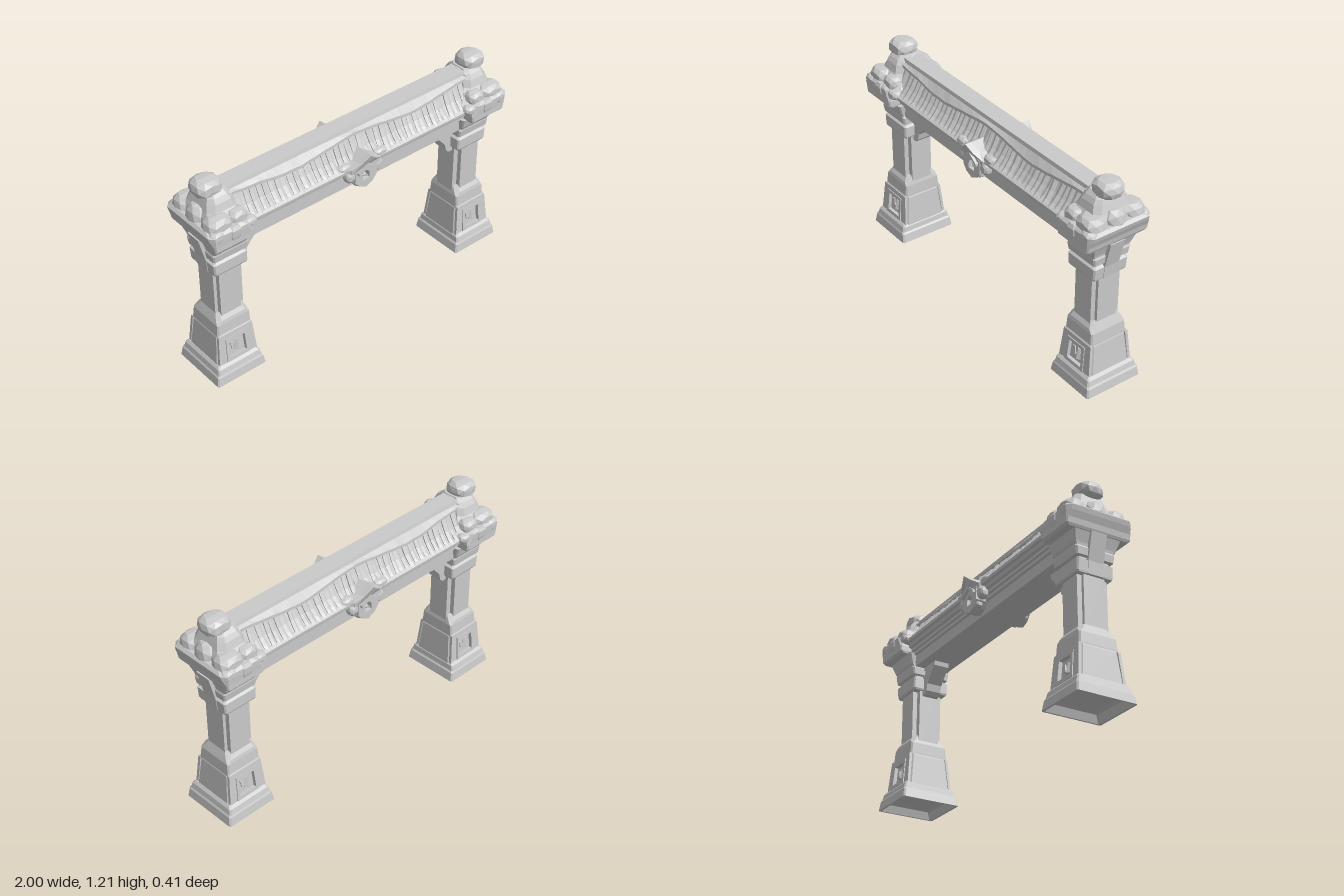
import * as THREE from 'three';

const stone = new THREE.MeshStandardMaterial({ color: 0xcacaca, flatShading: true });
stone.name = 'stone';

let seed = 7;
const rnd = () => { seed = (seed * 16807) % 2147483647; return seed / 2147483647; };
const vary = (a) => (rnd() - 0.5) * 2 * a;

function add(parent, name, geometry, x = 0, y = 0, z = 0) {
  const mesh = new THREE.Mesh(geometry, stone);
  mesh.name = name;
  mesh.position.set(x, y, z);
  parent.add(mesh);
  return mesh;
}

// Closed skin over equal-length rings of [x, y, z], wound outward
function skin(rings) {
  const n = rings[0].length, pos = rings.flat(2), idx = [];
  for (let r = 0; r < rings.length - 1; r++) {
    for (let i = 0; i < n; i++) {
      const a = r * n + i, b = r * n + (i + 1) % n;
      idx.push(a, b, b + n, a, b + n, a + n);
    }
  }
  const top = (rings.length - 1) * n;
  for (let i = 1; i < n - 1; i++) idx.push(0, i + 1, i, top, top + i, top + i + 1);
  let volume = 0;
  const p = (i) => new THREE.Vector3().fromArray(pos, i * 3);
  for (let i = 0; i < idx.length; i += 3) volume += p(idx[i]).dot(p(idx[i + 1]).cross(p(idx[i + 2])));
  if (volume < 0) idx.reverse();
  const g = new THREE.BufferGeometry();
  g.setAttribute('position', new THREE.Float32BufferAttribute(pos, 3));
  g.setIndex(idx);
  const flat = g.toNonIndexed();
  flat.computeVertexNormals();
  return flat;
}

// Stack of chamfered rectangles: [y, xMin, xMax, halfZ, chamfer]
const stack = (rows) => skin(rows.map(([y, a, b, z, c = 0.008]) => [
  [a + c, y, z], [b - c, y, z], [b, y, z - c], [b, y, c - z],
  [b - c, y, -z], [a + c, y, -z], [a, y, c - z], [a, y, z - c]]));

// Rough, slightly squared boulder
function lump(parent, name, x, y, z, sx, sy, sz) {
  const g = new THREE.IcosahedronGeometry(1, 1);
  const p = g.attributes.position;
  const square = (v) => Math.sign(v) * Math.min(1, 1.05 * Math.abs(v) ** 0.87);
  for (let i = 0; i < p.count; i++) {
    const a = p.getX(i), b = p.getY(i), c = p.getZ(i);
    const k = 1 + 0.04 * Math.sin(a * 5 + x * 9) * Math.cos(b * 4 + c * 3);
    p.setXYZ(i, square(a) * k * sx, square(b) * k * sy, square(c) * k * sz);
  }
  g.computeVertexNormals();
  return add(parent, name, g, x, y, z);
}

function extrude(points, depth, hole) {
  const vectors = (list) => list.map(([x, y]) => new THREE.Vector2(x, y));
  const s = new THREE.Shape(vectors(points));
  if (hole) s.holes.push(new THREE.Path(vectors(hole)));
  return new THREE.ExtrudeGeometry(s, { depth, bevelEnabled: false });
}

// Half profile of [z, y] mirrored in z and run along x
function beamAlongX(half, length) {
  const full = [...half, ...half.slice().reverse().map(([z, y]) => [-z, y])];
  return skin([-length / 2, length / 2].map((x) => full.map(([z, y]) => [x, y, z])));
}

function post() {
  const g = new THREE.Group();
  // Hollow-bottomed foot and sloped plinth
  add(g, 'foot', stack([[0.05, 0.74, 0.95, 0.12], [0.04, 0.715, 0.975, 0.14], [0, 0.7, 0.99, 0.16],
    [0, 0.69, 1, 0.172], [0.05, 0.7, 0.992, 0.165], [0.06, 0.708, 0.985, 0.16],
    [0.09, 0.712, 0.978, 0.152], [0.105, 0.725, 0.965, 0.138]]));
  add(g, 'plinth', stack([[0.09, 0.715, 0.965, 0.122], [0.27, 0.73, 0.946, 0.105], [0.285, 0.738, 0.94, 0.103]]));
  add(g, 'plinthCollar', stack([[0.272, 0.733, 0.943, 0.121], [0.285, 0.733, 0.943, 0.113], [0.345, 0.735, 0.938, 0.108],
    [0.365, 0.74, 0.93, 0.103, 0.02], [0.4, 0.752, 0.915, 0.08, 0.02]]));
  // Shaft with notched corners
  add(g, 'shaft', new THREE.BoxGeometry(0.176, 0.4, 0.124), 0.828, 0.52, 0);
  add(g, 'shaftFace', new THREE.BoxGeometry(0.126, 0.4, 0.178), 0.835, 0.52, 0);
  // Capital, neck and flare
  add(g, 'capital', stack([[0.67, 0.73, 0.928, 0.102], [0.68, 0.726, 0.93, 0.107], [0.74, 0.726, 0.935, 0.107],
    [0.75, 0.74, 0.92, 0.094], [0.76, 0.74, 0.92, 0.094], [0.765, 0.728, 0.935, 0.11], [0.805, 0.725, 0.94, 0.116],
    [0.815, 0.732, 0.935, 0.115], [0.83, 0.732, 0.938, 0.124], [0.89, 0.722, 0.96, 0.142]]));
  add(g, 'outerStrut', extrude([[0.9, 0.67], [0.932, 0.67], [0.938, 0.74], [0.975, 0.89], [0.9, 0.89]], 0.09), 0, 0, -0.045);
  add(g, 'eaveBlock', stack([[0.887, 0.745, 0.965, 0.18], [0.9, 0.742, 0.972, 0.192], [0.93, 0.742, 0.978, 0.192],
    [0.965, 0.75, 0.993, 0.194, 0.02], [0.99, 0.755, 1, 0.194, 0.025], [1.005, 0.77, 0.985, 0.178, 0.04]]));
  // Roof end rising to a ball
  add(g, 'roofEnd', stack([[0.97, 0.7, 0.965, 0.165, 0.03], [1.03, 0.75, 0.955, 0.135, 0.03],
    [1.06, 0.765, 0.94, 0.112, 0.03], [1.1, 0.775, 0.925, 0.098, 0.03],
    [1.125, 0.79, 0.915, 0.082, 0.025], [1.145, 0.8, 0.9, 0.06, 0.02]]));
  lump(g, 'finialBall', 0.882, 1.161, 0, 0.076, 0.05, 0.073);
  lump(g, 'finialNeck', 0.82, 1.11, 0, 0.05, 0.032, 0.075);
  lump(g, 'endBoss', 0.92, 1.005, 0, 0.07, 0.074, 0.064);
  for (const s of [1, -1]) {
    lump(g, 'cornerBoss', 0.91, 1.005, s * 0.12, 0.074, 0.058, 0.064);
    lump(g, 'cornerTip', 0.945, 0.978, s * 0.158, 0.045, 0.034, 0.042);
    // Hanging tile rolls beside the corner
    lump(g, 'tileRoll', 0.75, 0.968, s * 0.152, 0.046, 0.028, 0.036);
    lump(g, 'tileRoll', 0.8, 1.01, s * 0.125, 0.054, 0.046, 0.05);
    add(g, 'hangingTile', stack([[0.93, 0.82, 0.876, 0.014], [0.95, 0.814, 0.882, 0.018],
      [0.985, 0.817, 0.88, 0.02], [1.005, 0.825, 0.872, 0.008]]), 0, 0, s * 0.18);
    // Sloped plinth face with a framed recess and abstract relief
    const panel = new THREE.Group();
    panel.name = 'reliefPanel';
    add(panel, 'plinthFace', extrude([[-0.121, -0.085], [0.121, -0.085], [0.106, 0.1], [-0.106, 0.1]], 0.016,
      [[-0.06, -0.06], [-0.057, 0.06], [0.057, 0.06], [0.06, -0.06]]));
    add(panel, 'panelFrame', extrude([[-0.072, -0.074], [0.072, -0.074], [0.067, 0.073], [-0.067, 0.073]], 0.021,
      [[-0.054, -0.054], [-0.05, 0.054], [0.05, 0.054], [0.054, -0.054]]));
    add(panel, 'relief', new THREE.CylinderGeometry(0.012, 0.02, 0.06, 5), 0.01, 0, -0.004);
    add(panel, 'relief', new THREE.BoxGeometry(0.018, 0.045, 0.014), -0.022, 0.006, 0).rotation.z = 0.2;
    panel.position.set(0.84, 0.178, s * 0.114);
    panel.rotation.set(-s * 0.09, s > 0 ? 0 : Math.PI, 0);
    g.add(panel);
  }
  // Inner bracket under the beam
  add(g, 'bracket', extrude([[0.75, 0.64], [0.715, 0.64], [0.695, 0.66], [0.685, 0.7], [0.645, 0.745],
    [0.605, 0.785], [0.6, 0.815], [0.75, 0.815]], 0.09,
    [[0.72, 0.757], [0.732, 0.77], [0.73, 0.79], [0.718, 0.797], [0.71, 0.78]]), 0, 0, -0.045);
  return g;
}

// Central gabled ornament for one face
function ornament() {
  const g = new THREE.Group();
  add(g, 'ornamentBody', extrude([[0, 1], [-0.072, 0.95], [-0.072, 0.875], [-0.045, 0.84], [0, 0.82],
    [0.045, 0.84], [0.072, 0.875], [0.072, 0.95]], 0.075,
    [[-0.024, 0.87], [0.024, 0.87], [0.022, 0.91], [0, 0.928], [-0.022, 0.91]]), 0, 0, 0.095);
  add(g, 'ornamentBoss', new THREE.IcosahedronGeometry(0.014, 0), 0, 0.89, 0.15);
  // Hooded roof, swept back at both sides
  const gable = (w, z, sweep) => [[-w, 0.935, z - sweep], [-w, 0.962, z - sweep], [-w * 0.5, 0.995, z - sweep * 0.4],
    [0, 1.035, z], [w * 0.5, 0.995, z - sweep * 0.4], [w, 0.962, z - sweep],
    [w, 0.935, z - sweep], [w * 0.5, 0.968, z - sweep * 0.4], [0, 1.0, z], [-w * 0.5, 0.968, z - sweep * 0.4]];
  add(g, 'ornamentGable', skin([gable(0.14, 0.08, 0), gable(0.115, 0.17, 0.03), gable(0.095, 0.207, 0.04)]));
  add(g, 'innerGable', extrude([[-0.06, 0.92], [0, 0.96], [0.06, 0.92], [0.06, 0.935], [0, 0.978], [-0.06, 0.935]], 0.03),
    0, 0, 0.155);
  for (const s of [1, -1]) {
    lump(g, 'ornamentWing', s * 0.09, 0.912, 0.14, 0.032, 0.036, 0.03);
    lump(g, 'ornamentScroll', s * 0.12, 0.97, 0.125, 0.045, 0.028, 0.036);
    lump(g, 'ornamentFoot', s * 0.042, 0.862, 0.143, 0.026, 0.024, 0.026);
  }
  return g;
}

export function createModel() {
  const model = new THREE.Group();
  model.name = 'gateway';

  for (const [name, angle] of [['leftPost', 0], ['rightPost', Math.PI]]) {
    const p = post();
    p.name = name;
    p.rotation.y = angle;
    model.add(p);
  }

  // Moulded crossbeam
  add(model, 'crossbeam', beamAlongX([[0.1, 0.81], [0.1, 0.875], [0.112, 0.88], [0.112, 0.898], [0.124, 0.902],
    [0.124, 0.918], [0.138, 0.925], [0.145, 0.942], [0.158, 0.948], [0.16, 0.965], [0.145, 0.975]], 1.5));

  // Concave roof bed with uneven, closely laid tiles
  const slope = [[0.146, 0.965], [0.124, 0.985], [0.097, 1.02], [0.075, 1.06], [0.058, 1.095]];
  add(model, 'roofBed', beamAlongX(slope, 1.6));
  for (const s of [1, -1]) {
    for (let i = 0; i < 40; i++) {
      const x = -0.74 + i * 0.038 + vary(0.004), half = 0.016 + vary(0.003);
      const lift = 0.008 + rnd() * 0.006, lean = vary(0.003);
      add(model, 'roofTile', skin(slope.map(([z, y], k) => {
        const c = x + lean * k, b = s * (z - 0.01), t = s * (z + lift * 0.6), m = s * (z + lift);
        return [[c - half, y - 0.008, b], [c - half, y, t], [c, y + lift * 0.3, m],
          [c + half, y, t], [c + half, y - 0.008, b]];
      })));
    }
  }

  // Ridge with a wavy draped edge
  const ridge = [];
  for (let i = 0; i <= 32; i++) {
    const x = -0.82 + i * 0.05125;
    const low = 1.078 + 0.013 * Math.cos(x * 8) + vary(0.003), wide = 0.081 - 0.007 * Math.cos(x * 8);
    ridge.push([[x, low, -wide], [x, low + 0.016, -wide + 0.001], [x, 1.118, -0.055], [x, 1.138, -0.05],
      [x, 1.138, 0.05], [x, 1.118, 0.055], [x, low + 0.016, wide - 0.001], [x, low, wide]]);
  }
  add(model, 'ridge', skin(ridge));

  for (const [name, angle] of [['frontOrnament', 0], ['backOrnament', Math.PI]]) {
    const o = ornament();
    o.name = name;
    o.rotation.y = angle;
    model.add(o);
  }
  return model;
}
